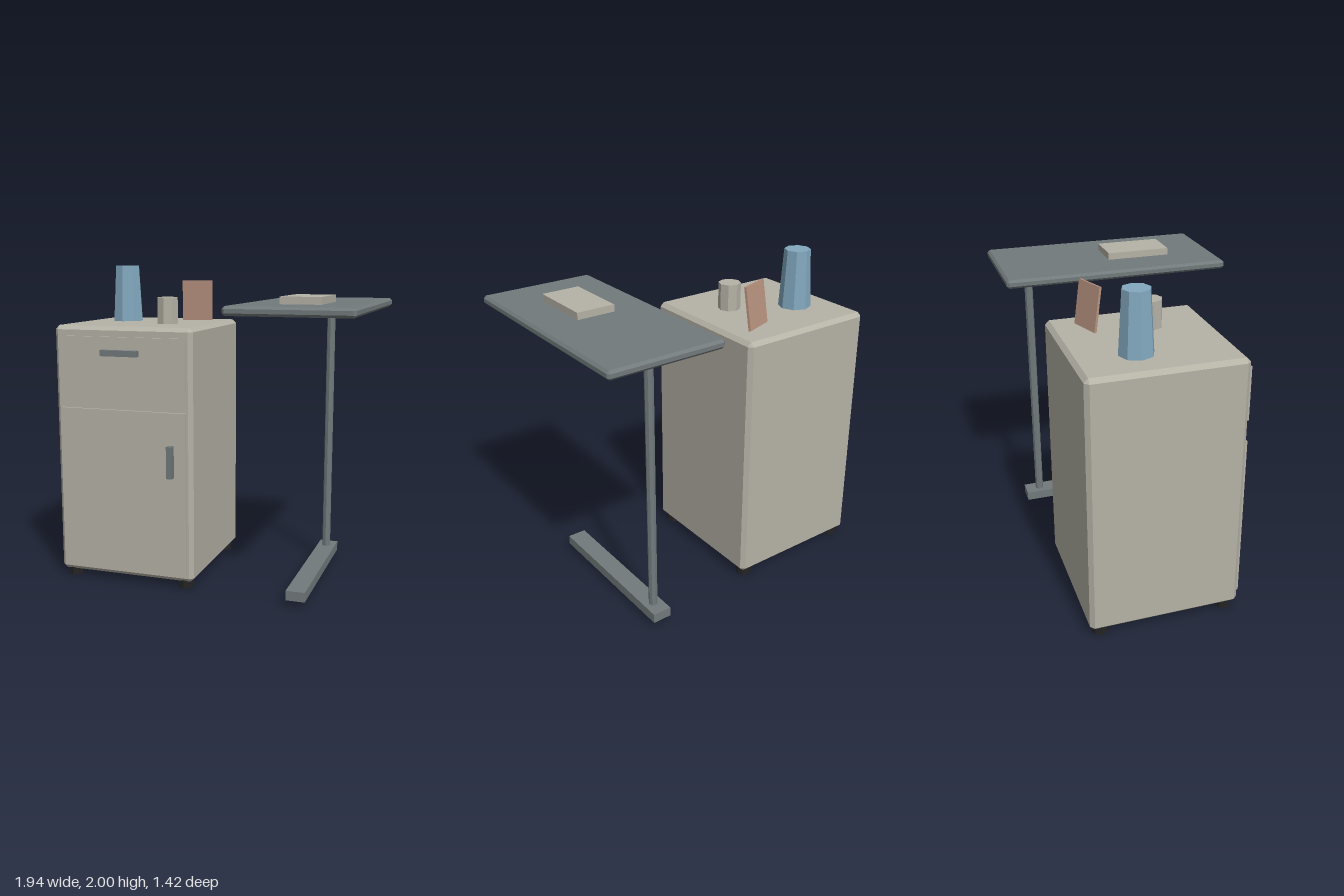
import * as THREE from 'three';
import { ConvexGeometry } from 'three/addons/geometries/ConvexGeometry.js';

const material = (name, color) => {
  const m = new THREE.MeshStandardMaterial({ color });
  m.name = name;
  return m;
};

// Box with flat chamfered edges, hulled from three points per corner
function chamferBox(w, h, d, c) {
  const points = [];
  for (const x of [-1, 1]) for (const y of [-1, 1]) for (const z of [-1, 1]) {
    for (const [a, b, e] of [[0, c, c], [c, 0, c], [c, c, 0]]) {
      points.push(new THREE.Vector3(x * (w / 2 - a), y * (h / 2 - b), z * (d / 2 - e)));
    }
  }
  return new ConvexGeometry(points);
}

export function createModel() {
  const group = new THREE.Group();
  group.name = 'bedsideCabinetAndTable';

  const beige = material('beige', 0xb5b2a6);
  const grey = material('slateGrey', 0x727a7c);
  const blue = material('blue', 0x82a8bf);
  const copper = material('copper', 0xb8937f);
  const black = material('black', 0x242424);

  const add = (name, geometry, mat, x, y, z) => {
    const mesh = new THREE.Mesh(geometry, mat);
    mesh.name = name;
    mesh.position.set(x, y, z);
    group.add(mesh);
    return mesh;
  };
  // Boxes are given by their minimum and maximum corners
  const box = (name, mat, [x0, y0, z0], [x1, y1, z1], chamfer = 0) => {
    const size = [x1 - x0, y1 - y0, z1 - z0];
    const geometry = chamfer ? chamferBox(...size, chamfer) : new THREE.BoxGeometry(...size);
    return add(name, geometry, mat, (x0 + x1) / 2, (y0 + y1) / 2, (z0 + z1) / 2);
  };
  // Eight-sided faceted cylinder standing on y0
  const prism = (name, mat, x, z, y0, y1, rBottom, rTop = rBottom) => {
    const geometry = new THREE.CylinderGeometry(rTop, rBottom, y1 - y0, 8).toNonIndexed();
    geometry.computeVertexNormals();
    return add(name, geometry, mat, x, (y0 + y1) / 2, z);
  };

  // Cabinet
  box('cabinetBody', beige, [-0.975, 0.048, -0.56], [-0.062, 1.635, 0.353], 0.025);
  box('drawerFront', beige, [-0.935, 1.25, 0.34], [-0.1, 1.572, 0.37]);
  box('doorFront', beige, [-0.935, 0.105, 0.34], [-0.1, 1.122, 0.37]);
  box('drawerHandle', grey, [-0.64, 1.457, 0.365], [-0.397, 1.494, 0.407]);
  box('doorHandle', grey, [-0.212, 0.72, 0.365], [-0.175, 0.92, 0.407]);
  for (const x of [-0.905, -0.13]) {
    for (const z of [0.287, -0.49]) prism('cabinetFoot', black, x, z, 0, 0.055, 0.05);
  }

  // Objects on the cabinet
  prism('vase', blue, -0.72, -0.208, 1.63, 2, 0.102, 0.081);
  prism('cup', beige, -0.355, -0.004, 1.63, 1.802, 0.07);
  const frame = box('pictureFrame', copper, [-0.375, 1.636, -0.357], [-0.175, 1.9, -0.342]);
  frame.rotation.set(0.15, 0.34, 0, 'YXZ');

  // Overbed table
  box('tableTop', grey, [0.24, 1.733, -0.712], [0.97, 1.787, 0.71], 0.015);
  prism('tablePost', grey, 0.603, -0.513, 0.09, 1.74, 0.027);
  box('tableFoot', grey, [0.545, 0.037, -0.61], [0.663, 0.097, 0.407]);
  box('book', beige, [0.485, 1.785, 0], [0.727, 1.83, 0.405]);

  return group;
}
